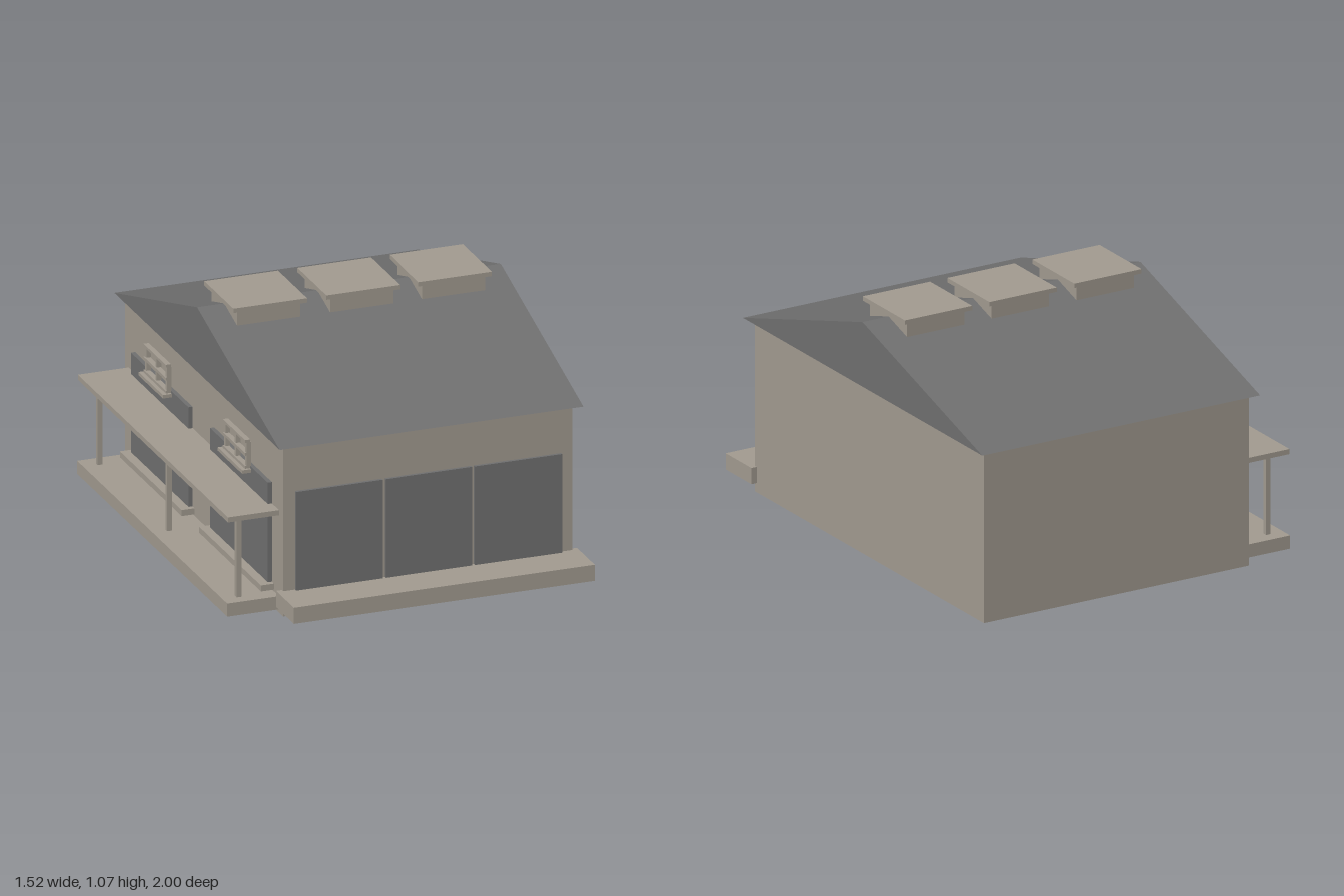
import * as THREE from 'three';

export function createModel() {
  const model = new THREE.Group();
  model.name = 'house';

  const stone = new THREE.MeshStandardMaterial({ color: 0xa29b90 });
  stone.name = 'warm stone';
  const slate = new THREE.MeshStandardMaterial({ color: 0x707070 });
  slate.name = 'slate grey';

  // Box given by its min and max on each axis
  function box(name, mat, [x0, x1], [y0, y1], [z0, z1], parent = model) {
    const mesh = new THREE.Mesh(new THREE.BoxGeometry(x1 - x0, y1 - y0, z1 - z0), mat);
    mesh.position.set((x0 + x1) / 2, (y0 + y1) / 2, (z0 + z1) / 2);
    mesh.name = name;
    parent.add(mesh);
    return mesh;
  }

  // Extrude a (z, y) outline along x
  function prism(name, mat, points, x0, x1) {
    const shape = new THREE.Shape(points.map(([z, y]) => new THREE.Vector2(-z, y)));
    const geo = new THREE.ExtrudeGeometry(shape, { depth: x1 - x0, bevelEnabled: false });
    geo.rotateY(Math.PI / 2).translate(x0, 0, 0);
    const mesh = new THREE.Mesh(geo, mat);
    mesh.name = name;
    model.add(mesh);
  }

  // Walls and gabled roof
  box('walls', stone, [-0.535, 0.725], [0, 0.745], [-0.96, 0.815]);
  prism('roof', slate, [[0.855, 0.745], [-1, 0.745], [-0.072, 1.025]], -0.565, 0.757);

  // Roof vents with wider lids
  for (const x of [-0.31, 0.094, 0.496]) {
    const vent = new THREE.Group();
    vent.name = 'roofVent';
    box('ventBase', stone, [x - 0.137, x + 0.137], [0.96, 1.046], [-0.215, 0.072], vent);
    box('ventLid', stone, [x - 0.16, x + 0.16], [1.046, 1.065], [-0.236, 0.09], vent);
    model.add(vent);
  }

  // Front step and three tall front panels
  box('frontStep', stone, [-0.56, 0.75], [0.04, 0.11], [0.8, 1]);
  for (const [x0, x1] of [[-0.483, -0.108], [-0.093, 0.285], [0.296, 0.675]]) {
    box('frontPanel', slate, [x0, x1], [0.11, 0.54], [0.81, 0.828]);
  }

  // Side porch: deck, canopy and posts
  box('porchDeck', stone, [-0.76, -0.53], [0.015, 0.072], [-0.915, 0.77]);
  box('porchCanopy', stone, [-0.757, -0.53], [0.425, 0.447], [-0.915, 0.77]);
  for (const z of [-0.85, -0.07, 0.71]) {
    box('porchPost', stone, [-0.7, -0.679], [0.07, 0.427], [z - 0.01, z + 0.01]);
  }

  // Side panels with a ledge below and a small window frame above
  for (const z of [-0.522, 0.367]) {
    box('sidePanel', slate, [-0.553, -0.53], [0.105, 0.54], [z - 0.323, z + 0.323]);
    box('sideLedge', stone, [-0.592, -0.53], [0.08, 0.106], [z - 0.347, z + 0.347]);
    const win = new THREE.Group();
    win.name = 'windowFrame';
    box('windowSill', stone, [-0.592, -0.549], [0.515, 0.53], [z - 0.137, z + 0.137], win);
    for (const y of [0.53, 0.587, 0.643]) {
      box('windowRail', stone, [-0.575, -0.552], [y, y + 0.012], [z - 0.125, z + 0.125], win);
    }
    for (const dz of [-0.117, 0, 0.117]) {
      box('windowBar', stone, [-0.569, -0.549], [0.53, 0.645], [z + dz - 0.008, z + dz + 0.008], win);
    }
    model.add(win);
  }

  return model;
}
